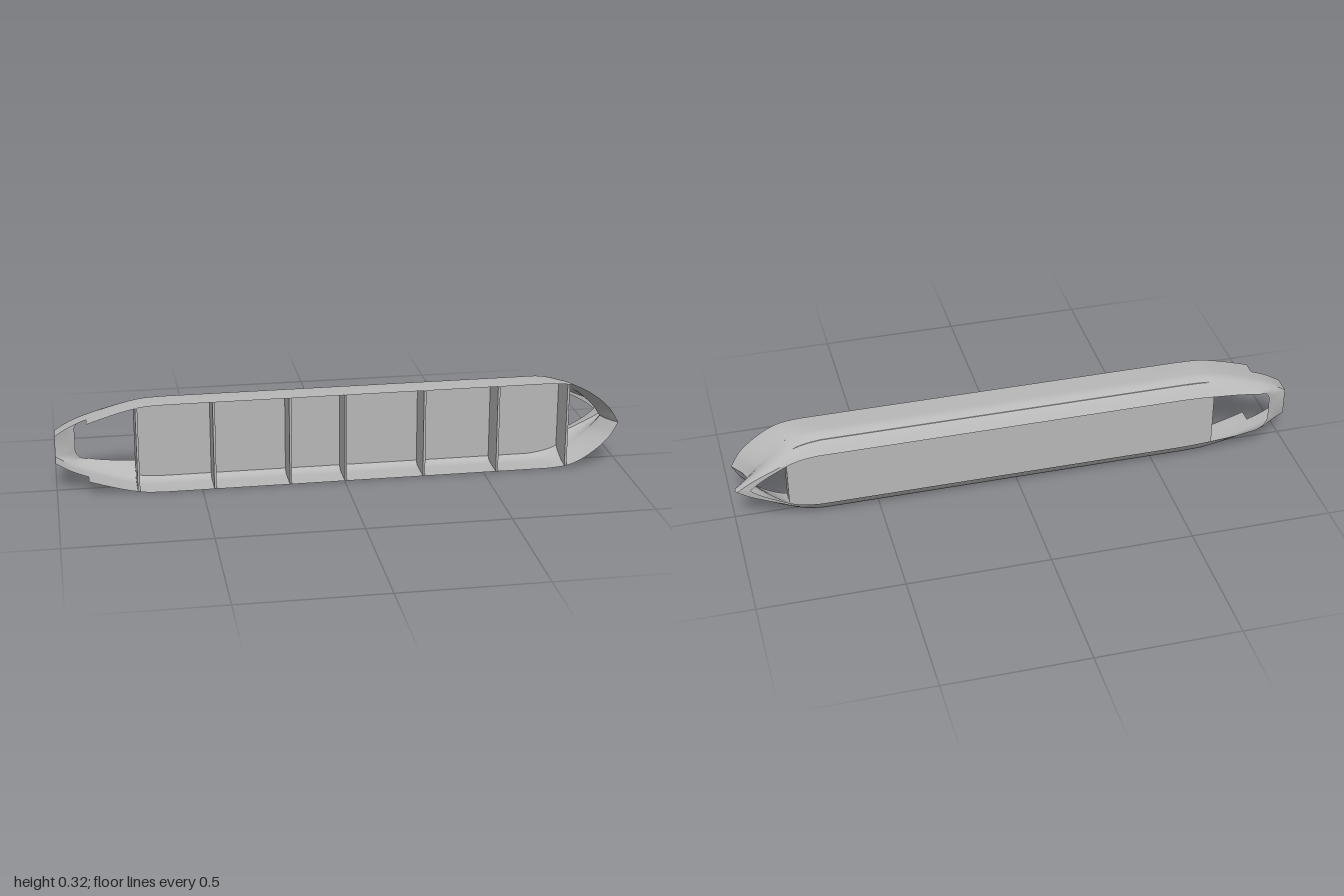
import * as THREE from 'three';
import { toCreasedNormals } from 'three/addons/utils/BufferGeometryUtils.js';

const { lerp, clamp } = THREE.MathUtils;
const MID = 0.16; // centre line of the hull in y
const STEPS = 6; // samples between waterline keys
const FLOOR_Z = -0.043;

// Waterlines from deck edge to bottom rim: height, half breadth, stern end, bow tip, bow fullness
const waterlines = [
  [0.077, 0.16, -1, 0.99, 1],
  [0.03, 0.16, -1, 0.957, 0.9],
  [-0.005, 0.16, -1, 0.945, 0.5],
  [-0.02, 0.159, -1, 0.953, 0.3],
  [-0.035, 0.153, -1, 0.977, 0.05],
  [-0.05, 0.14, -0.972, 0.992, 0],
  [-0.065, 0.122, -0.945, 0.997, 0.1],
  [-0.076, 0.104, -0.932, 0.99, 0.25],
  [-0.0775, 0.102, -0.93, 0.945, 0.3],
];

// Keys of one waterline, blended between full deck lines and fine bottom lines
function waterlineKeys([, breadth, sternX, tip, fullness]) {
  const raised = (sternX + 1) / 0.07;
  const narrow = (0.16 - breadth) / 0.058;
  const sternXs = [[-1, -0.93], [-0.95, -0.915], [-0.89, -0.86], [-0.72, -0.72], [-0.62, -0.6]];
  const sternHs = [[0.05, 0.044], [0.08, 0.067], [0.105, 0.082], [0.153, 0.096], [0.16, 0.102]];
  const keys = sternXs.map(([a, b], i) => [lerp(a, b, raised), lerp(...sternHs[i], narrow)]);
  const shoulder = 0.69 + 0.05 * fullness;
  const bow = [[0, 1, 1], [0.34, 0.85, 0.925], [0.62, 0.53, 0.69], [0.87, 0.2, 0.34], [1, 0, 0]];
  bow.forEach(([u, fine, full]) => keys.push([lerp(shoulder, tip, u), breadth * lerp(fine, full, fullness)]));
  return keys;
}

// Smooth samples of one waterline, lifted to the sloping counter and closed at the stern
function sampleWaterline(waterline) {
  const [z, breadth] = waterline;
  const keys = waterlineKeys(waterline);
  const curve = new THREE.CatmullRomCurve3(keys.map(([x, h]) => new THREE.Vector3(x, h, 0)));
  const count = (keys.length - 1) * STEPS;
  const points = [];
  for (let i = 0; i <= count; i++) {
    const p = curve.getPoint(i / count);
    p.y = clamp(p.y, 0, breadth);
    p.z = Math.max(z, -0.035 - (p.x + 1) * 0.37);
    points.push(p);
  }
  points.unshift(new THREE.Vector3(points[0].x, 0, points[0].z));
  return points;
}

const rows = waterlines.map(sampleWaterline);

// Half breadth of a sampled waterline at x
function breadthAt(row, x) {
  const i = row.findIndex((p, k) => k > 1 && p.x >= x);
  const a = row[i - 1], b = row[i];
  return lerp(a.y, b.y, (x - a.x) / (b.x - a.x));
}

// Half breadth of the hull at x and height z between two waterlines
function hullBreadth(x, z) {
  let j = 0;
  while (waterlines[j + 1][0] > z) j++;
  const t = (z - waterlines[j][0]) / (waterlines[j + 1][0] - waterlines[j][0]);
  return lerp(breadthAt(rows[j], x), breadthAt(rows[j + 1], x), t);
}

// Skin one side of the hull; the top strake stops short at the stern step
function hullSide(side) {
  const positions = [], index = [], n = rows[0].length;
  rows.forEach((row) => row.forEach((p) => positions.push(p.x, MID + side * p.y, p.z)));
  for (let j = 0; j < rows.length - 1; j++) {
    for (let i = j === 0 ? 2 * STEPS + 1 : 0; i < n - 1; i++) {
      const a = j * n + i, b = a + 1, c = a + n, d = c + 1;
      if (side > 0) index.push(a, b, c, b, d, c);
      else index.push(a, c, b, b, c, d);
    }
  }
  const geometry = new THREE.BufferGeometry();
  geometry.setAttribute('position', new THREE.Float32BufferAttribute(positions, 3));
  geometry.setIndex(index);
  return toCreasedNormals(geometry, 0.6);
}

// Symmetric outline from [along, half breadth] pairs
function mirroredShape(pairs) {
  const upper = pairs.map(([u, h]) => new THREE.Vector2(u, MID + h));
  const lower = pairs.map(([u, h]) => new THREE.Vector2(u, MID - h)).reverse();
  return new THREE.Shape([...upper, ...lower]);
}

// Cross wall fitted to the hull section at x
function bulkheadGeometry(x) {
  const levels = [0.076, 0.03, -0.005, -0.02, -0.035, FLOOR_Z];
  const shape = mirroredShape(levels.map((z) => [z, hullBreadth(x, z) - 0.001]));
  const geometry = new THREE.ExtrudeGeometry(shape, { depth: 0.008, bevelEnabled: false });
  geometry.rotateY(-Math.PI / 2);
  geometry.translate(x + 0.004, 0, 0);
  return geometry;
}

// Long floor with rounded corners, fitted inside the hull
function floorGeometry() {
  const x0 = -0.725, x1 = 0.813, r = 0.03, pairs = [];
  for (let i = 0; i <= 60; i++) {
    const x = lerp(x0, x1, (1 - Math.cos((Math.PI * i) / 60)) / 2);
    const d = Math.max(0, r - Math.min(x - x0, x1 - x));
    const corner = r - Math.sqrt(Math.max(0, r * r - d * d));
    pairs.push([x, hullBreadth(x, FLOOR_Z) - 0.001 - corner * 0.6]);
  }
  const geometry = new THREE.ExtrudeGeometry(mirroredShape(pairs), { depth: 0.005, bevelEnabled: false });
  geometry.translate(0, 0, FLOOR_Z - 0.0025);
  return geometry;
}

export function createModel() {
  const model = new THREE.Group();
  model.name = 'shipHull';
  const grey = new THREE.MeshStandardMaterial({ color: 0xb8b8b8, side: THREE.DoubleSide });
  grey.name = 'hullGrey';

  const add = (name, geometry) => {
    const mesh = new THREE.Mesh(geometry, grey);
    mesh.name = name;
    model.add(mesh);
  };

  add('hullUpperSide', hullSide(1));
  add('hullLowerSide', hullSide(-1));
  add('floor', floorGeometry());
  [-0.72, -0.455, -0.19, 0.005, 0.285, 0.55, 0.802].forEach((x, i) => add(`bulkhead${i + 1}`, bulkheadGeometry(x)));
  return model;
}
